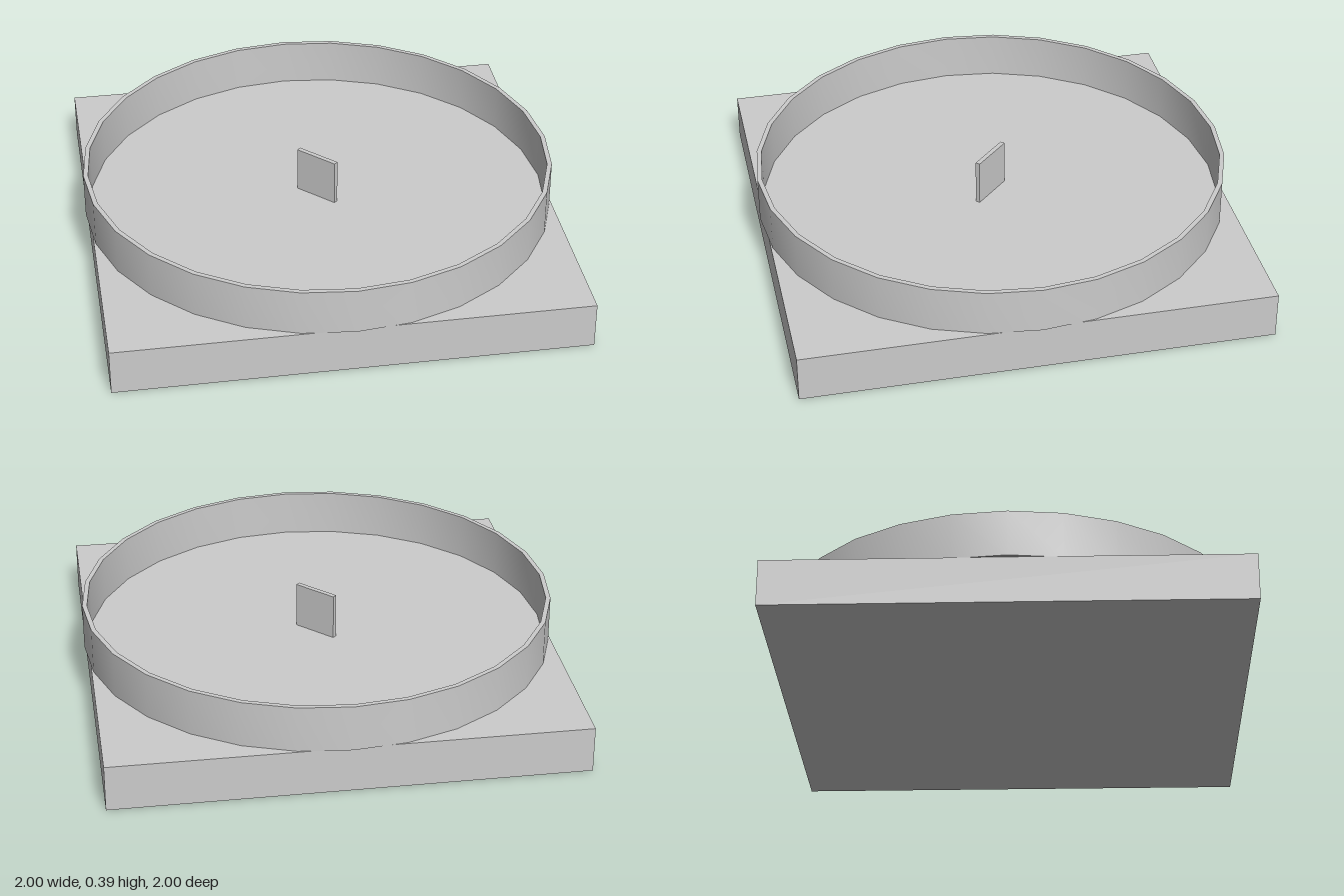
import * as THREE from 'three';
import { toCreasedNormals } from 'three/addons/utils/BufferGeometryUtils.js';

const SIZE = 1.965;        // base edge length
const H = 0.197;           // height of base, rim and fin
const OUTER = 1, INNER = 0.98;

export function createModel() {
  const group = new THREE.Group();
  const material = new THREE.MeshStandardMaterial({ color: 0xcccccc });

  const add = (name, geometry, y) => {
    const mesh = new THREE.Mesh(geometry, material);
    mesh.name = name;
    mesh.position.y = y;
    group.add(mesh);
    return mesh;
  };

  // Square base slab
  add('base', new THREE.BoxGeometry(SIZE, H, SIZE), H / 2);

  // Thin round rim standing on the base, slightly overhanging its edges
  const profile = [[OUTER, 0], [OUTER, H], [INNER, H], [INNER, 0], [OUTER, 0]]
    .map(([r, y]) => new THREE.Vector2(r, y));
  add('rim', toCreasedNormals(new THREE.LatheGeometry(profile, 28), 0.6), H);

  // Small upright fin at the centre, set diagonally
  add('centreFin', new THREE.BoxGeometry(H, H, 0.02), H * 1.5).rotation.y = -Math.PI / 4;

  return group;
}
